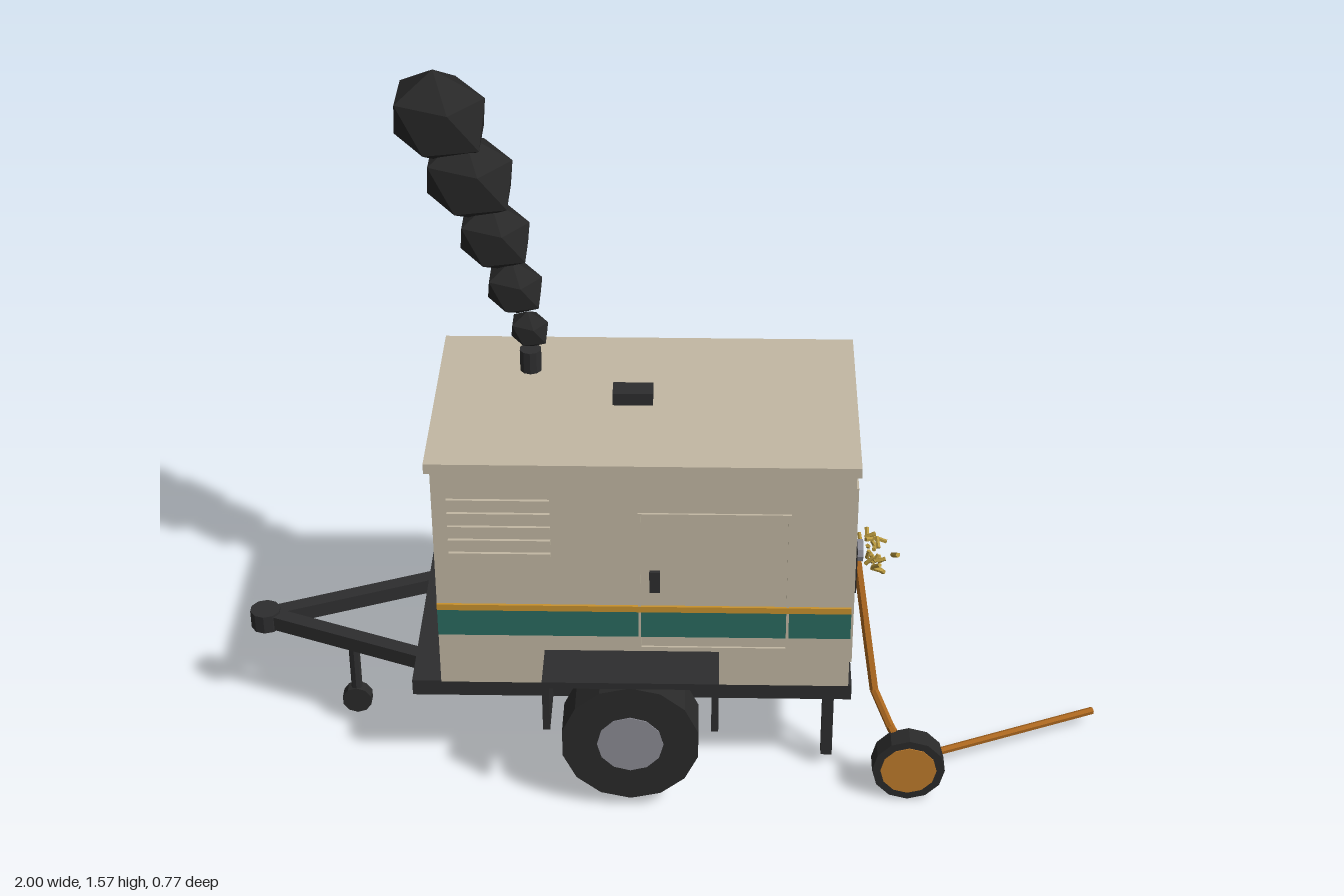
import * as THREE from 'three';

const mat = (name, color) => {
  const m = new THREE.MeshStandardMaterial({ color });
  m.name = name;
  return m;
};

export function createModel() {
  const beige = mat('beige paint', 0xc2b8a3);
  const dark = mat('dark steel', 0x2d2d2e);
  const rubber = mat('rubber', 0x2a2a2a);
  const soot = mat('smoke', 0x272727);
  const teal = mat('teal stripe', 0x2a6b60);
  const gold = mat('gold stripe', 0xc8922e);
  const orange = mat('orange drum', 0xc07c2c);
  const copper = mat('cable', 0xa9661f);
  const brass = mat('brass', 0xb8983f);
  const grey = mat('grey metal', 0x8c8c95);

  const model = new THREE.Group();
  model.name = 'towedGenerator';

  const add = (name, geo, material, x = 0, y = 0, z = 0, parent = model) => {
    const m = new THREE.Mesh(geo, material);
    m.name = name;
    m.position.set(x, y, z);
    parent.add(m);
    return m;
  };
  // Box given by its limits on each axis
  const box = (name, material, x0, x1, y0, y1, z0, z1, parent = model) =>
    add(name, new THREE.BoxGeometry(x1 - x0, y1 - y0, z1 - z0), material,
      (x0 + x1) / 2, (y0 + y1) / 2, (z0 + z1) / 2, parent);
  const flatCylinder = (r, h, n) => {
    const g = new THREE.CylinderGeometry(r, r, h, n).toNonIndexed();
    g.computeVertexNormals();
    return g;
  };
  // Cylinder lying along z
  const disc = (name, material, r, w, n, x, y, z, parent = model) =>
    add(name, flatCylinder(r, w, n).rotateX(Math.PI / 2), material, x, y, z, parent);
  // Straight rod between two points
  const up = new THREE.Vector3(0, 1, 0);
  const rod = (name, material, a, b, r, n = 6, parent = model) => {
    const p = new THREE.Vector3(...a), q = new THREE.Vector3(...b);
    const d = q.clone().sub(p);
    const m = add(name, flatCylinder(r, d.length(), n), material, 0, 0, 0, parent);
    m.position.copy(p).add(q).multiplyScalar(0.5);
    m.quaternion.setFromUnitVectors(up, d.normalize());
    return m;
  };

  // Chassis and housing
  box('chassis', dark, -0.59, 0.41, 0.225, 0.265, -0.262, 0.262);
  box('housing', beige, -0.523, 0.402, 0.265, 0.84, -0.265, 0.265);
  box('roof', beige, -0.535, 0.412, 0.836, 0.86, -0.276, 0.276);
  box('roofCap', dark, -0.135, -0.045, 0.86, 0.89, -0.025, 0.025);
  add('exhaustPipe', flatCylinder(0.025, 0.055, 10), dark, -0.327, 0.886, -0.13);

  // Long sides, the same at front and back
  for (const s of [1, -1]) {
    const side = new THREE.Group();
    side.name = s > 0 ? 'frontSide' : 'backSide';
    model.add(side);
    const plate = (name, material, x0, x1, y0, y1, depth) =>
      box(name, material, x0, x1, y0, y1,
        s > 0 ? 0.264 : -0.264 - depth, s > 0 ? 0.264 + depth : -0.264, side);

    plate('tealStripe', teal, -0.523, 0.402, 0.4, 0.47, 0.004);
    plate('goldStripe', gold, -0.523, 0.402, 0.47, 0.485, 0.007);

    // Door seams and handle
    for (const x of [-0.07, 0.26]) plate('doorSeam', beige, x - 0.003, x + 0.003, 0.37, 0.73, 0.006);
    for (const y of [0.37, 0.73]) plate('doorSeam', beige, -0.073, 0.263, y - 0.003, y + 0.003, 0.006);
    plate('doorHandle', dark, -0.048, -0.024, 0.525, 0.58, 0.01);

    // Vent slats
    for (let i = 0; i < 5; i++) {
      const y = 0.62 + i * 0.035;
      plate('ventSlat', beige, -0.49, -0.265, y - 0.005, y + 0.005, 0.008);
    }

    // Road wheel
    disc('tyre', rubber, 0.157, 0.1, 14, -0.09, 0.183, s * 0.33, side);
    disc('wheelHub', grey, 0.075, 0.104, 12, -0.09, 0.183, s * 0.33, side);

    // Fender: a top plate and two end plates
    const z0 = s > 0 ? 0.262 : -0.385, z1 = s > 0 ? 0.385 : -0.262;
    box('fenderTop', dark, -0.285, 0.108, 0.342, 0.358, z0, z1, side);
    box('fenderEnd', dark, -0.285, -0.269, 0.225, 0.345, z0, z1, side);
    box('fenderEnd', dark, 0.092, 0.108, 0.225, 0.345, z0, z1, side);

    // Rear support leg and drawbar arm
    box('supportLeg', dark, 0.347, 0.373, 0.033, 0.23, s * 0.211 - 0.013, s * 0.211 + 0.013, side);
    const a = Math.atan2(0.175, 0.43);
    const arm = add('drawbarArm', new THREE.BoxGeometry(0.46, 0.036, 0.036), dark, -0.745, 0.246, s * 0.0875, side);
    arm.rotation.y = -s * a;
  }

  // Tow coupling and jockey wheel
  add('towCoupling', flatCylinder(0.036, 0.046, 10), dark, -0.964, 0.247, 0);
  rod('jockeyPost', dark, [-0.75, 0.06, 0.065], [-0.75, 0.25, 0.065], 0.013, 8);
  disc('jockeyWheel', rubber, 0.035, 0.03, 10, -0.75, 0.063, 0.065);

  // End panel with socket
  box('endPanel', beige, 0.4, 0.409, 0.315, 0.785, -0.236, 0.24);
  box('socketPlate', dark, 0.405, 0.414, 0.485, 0.6, 0.052, 0.21);
  add('socket', flatCylinder(0.026, 0.02, 10).rotateZ(Math.PI / 2), grey, 0.421, 0.54, 0.12);

  // Frayed wire ends bursting out of the socket
  let seed = 7;
  const rnd = () => (seed = (seed * 16807) % 2147483647) / 2147483647;
  const wires = new THREE.Group();
  wires.name = 'frayedWires';
  model.add(wires);
  for (let i = 0; i < 18; i++) {
    const t = i * 2.4, r = 0.015 + rnd() * 0.04, x = 0.42 + rnd() * 0.05;
    const p = [x, 0.535 + Math.sin(t) * r, 0.118 + Math.cos(t) * r * 0.8];
    const q = [x + (rnd() - 0.2) * 0.04, p[1] + (rnd() - 0.5) * 0.05, p[2] + (rnd() - 0.5) * 0.05];
    rod('wireEnd', brass, p, q, 0.005, 5, wires);
  }
  rod('wireEnd', brass, [0.46, 0.47, 0.08], [0.485, 0.435, 0.055], 0.006, 5, wires);
  rod('wireEnd', brass, [0.5, 0.515, 0.1], [0.51, 0.535, 0.13], 0.006, 5, wires);

  // Cable down to the drum, and its loose end on the ground
  const path = [[0.415, 0.54, 0.12], [0.44, 0.38, 0.178], [0.463, 0.235, 0.237], [0.5, 0.165, 0.28], [0.535, 0.11, 0.31]];
  for (let i = 1; i < path.length; i++) rod('cable', copper, path[i - 1], path[i], 0.01);
  rod('looseCable', copper, [0.545, 0.04, 0.25], [0.998, 0.035, 0.05], 0.009);

  // Cable drum
  disc('drumRim', rubber, 0.083, 0.05, 12, 0.543, 0.083, 0.315);
  disc('drumFace', orange, 0.064, 0.054, 12, 0.543, 0.083, 0.315);

  // Rising smoke puffs: x, y, z, radius
  const puffs = [
    [-0.327, 0.965, -0.13, 0.051],
    [-0.358, 1.065, -0.144, 0.075],
    [-0.4, 1.187, -0.161, 0.095],
    [-0.453, 1.322, -0.181, 0.117],
    [-0.516, 1.457, -0.205, 0.124],
  ];
  for (const [x, y, z, r] of puffs) {
    const puff = add('smokePuff', new THREE.IcosahedronGeometry(r, 0), soot, x, y, z);
    puff.scale.y = 0.85;
    puff.rotation.z = -0.54;
  }

  return model;
}
